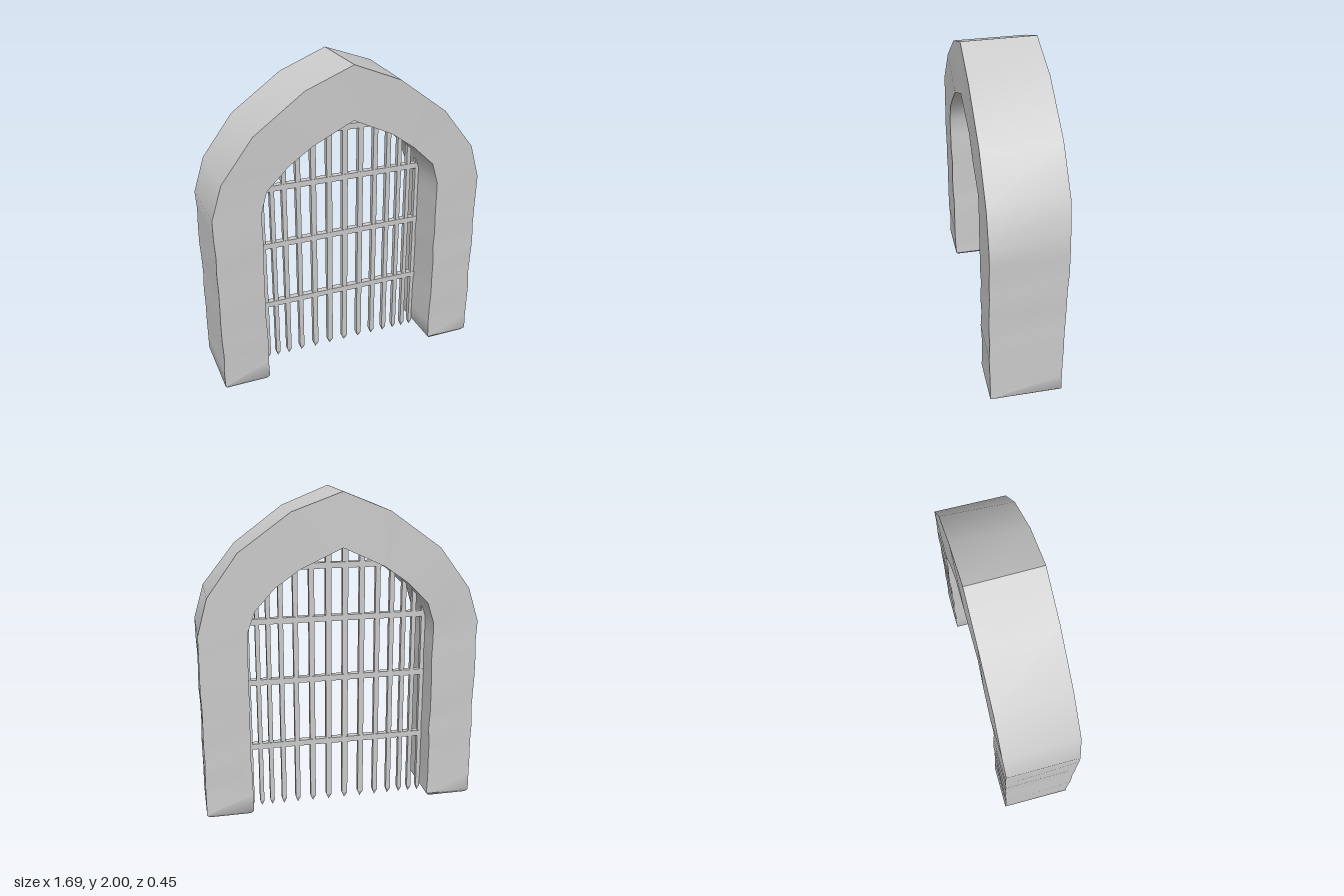
import * as THREE from 'three';
import { toCreasedNormals } from 'three/addons/utils/BufferGeometryUtils.js';

const material = new THREE.MeshStandardMaterial({ color: 0xcccccc });
const gateZ = -0.045;

// Half of the arch: [outer x, outer y, inner x, inner y], springing to crown
const curve = [
  [0.843, 1.2, 0.562, 1.2],
  [0.78, 1.41, 0.52, 1.33],
  [0.588, 1.66, 0.39, 1.46],
  [0.285, 1.88, 0.25, 1.56],
  [0, 1.995, 0, 1.678],
];

function seeded(seed) {
  return () => {
    seed = (seed * 16807) % 2147483647;
    return seed / 2147483647 - 0.5;
  };
}

// Four-cornered stone section: outer front, outer back, inner back, inner front
function section([ox, oy, ix, iy], depth, wobble, rand, bulge = 0) {
  const corners = [[ox, oy, depth], [ox + bulge, oy + bulge, -depth], [ix, iy, -depth], [ix, iy, depth]];
  return corners.map(([x, y, z]) => new THREE.Vector3(
    x + rand() * wobble, y, z + rand() * wobble));
}

function archGeometry() {
  const rand = seeded(41);
  const half = [[0.828, 0.038, 0.577, 0.038], [0.843, 0.06, 0.562, 0.06]];
  for (let i = 1; i < 10; i++) half.push([0.843, 0.06 + i * 0.114, 0.562, 0.06 + i * 0.114]);
  half.push(...curve);
  const mirrored = half.slice(0, -1).reverse().map(([a, b, c, d]) => [-a, b, -c, d]);
  const path = [...half, ...mirrored];
  const last = path.length - 1;
  const sections = path.map((p, i) => {
    const end = i === 0 || i === last;
    const worn = p[0] > 0.2 && p[1] > 1.3; // weathered shoulder on the left side
    return section(p, end ? 0.203 : 0.22, end ? 0 : worn ? 0.012 : 0.008, rand, worn ? 0.009 : 0);
  });

  const positions = [];
  const quad = (a, b, c, d) => [a, b, c, a, c, d].forEach((v) => positions.push(v.x, v.y, v.z));
  for (let i = 0; i < last; i++) {
    const s = sections[i], t = sections[i + 1];
    for (let k = 0; k < 4; k++) {
      const n = (k + 1) % 4;
      quad(s[k], s[n], t[n], t[k]);
    }
  }
  const [a, b, c, d] = sections[0];
  quad(a, d, c, b);
  quad(...sections[last]);
  const geometry = new THREE.BufferGeometry();
  geometry.setAttribute('position', new THREE.Float32BufferAttribute(positions, 3));
  return toCreasedNormals(geometry, 0.7);
}

// Height of the opening at a given x
function openingHeight(x) {
  x = Math.abs(x);
  for (let i = 1; i < curve.length; i++) {
    const [, , x0, y0] = curve[i - 1], [, , x1, y1] = curve[i];
    if (x >= x1) return y0 + (y1 - y0) * (x0 - x) / (x0 - x1);
  }
  return 1.678;
}

function addMesh(parent, name, geometry, x, y, z) {
  const mesh = new THREE.Mesh(geometry, material);
  mesh.name = name;
  mesh.position.set(x, y, z);
  parent.add(mesh);
  return mesh;
}

export function createModel() {
  const model = new THREE.Group();
  model.name = 'archedGate';
  addMesh(model, 'stoneArch', archGeometry(), 0, 0, 0);

  const gate = new THREE.Group();
  gate.name = 'portcullis';
  model.add(gate);

  // Upright bars, closer and thinner towards the sides, with pointed feet
  const uprights = [[0.052, 0.035], [0.156, 0.033], [0.255, 0.03], [0.345, 0.029],
    [0.422, 0.027], [0.488, 0.026], [0.55, 0.025]];
  const tipHeight = 0.04;
  for (const [distance, width] of uprights) {
    for (const side of [-1, 1]) {
      const x = side * distance;
      const top = openingHeight(x) + 0.03;
      const height = top - tipHeight;
      addMesh(gate, 'uprightBar', new THREE.BoxGeometry(width, height, 0.033), x, tipHeight + height / 2, gateZ);
      const spike = new THREE.ConeGeometry(Math.SQRT1_2, tipHeight, 4, 1, true).toNonIndexed();
      spike.rotateY(Math.PI / 4).rotateZ(Math.PI).scale(width, 1, 0.033);
      spike.computeVertexNormals();
      addMesh(gate, 'spike', spike, x, tipHeight / 2, gateZ);
    }
  }

  // Cross bars
  for (const [y, halfWidth] of [[0.42, 0.58], [0.842, 0.58], [1.225, 0.57], [1.55, 0.3]]) {
    addMesh(gate, 'crossBar', new THREE.BoxGeometry(halfWidth * 2, 0.036, 0.038), 0, y, gateZ);
  }
  return model;
}
